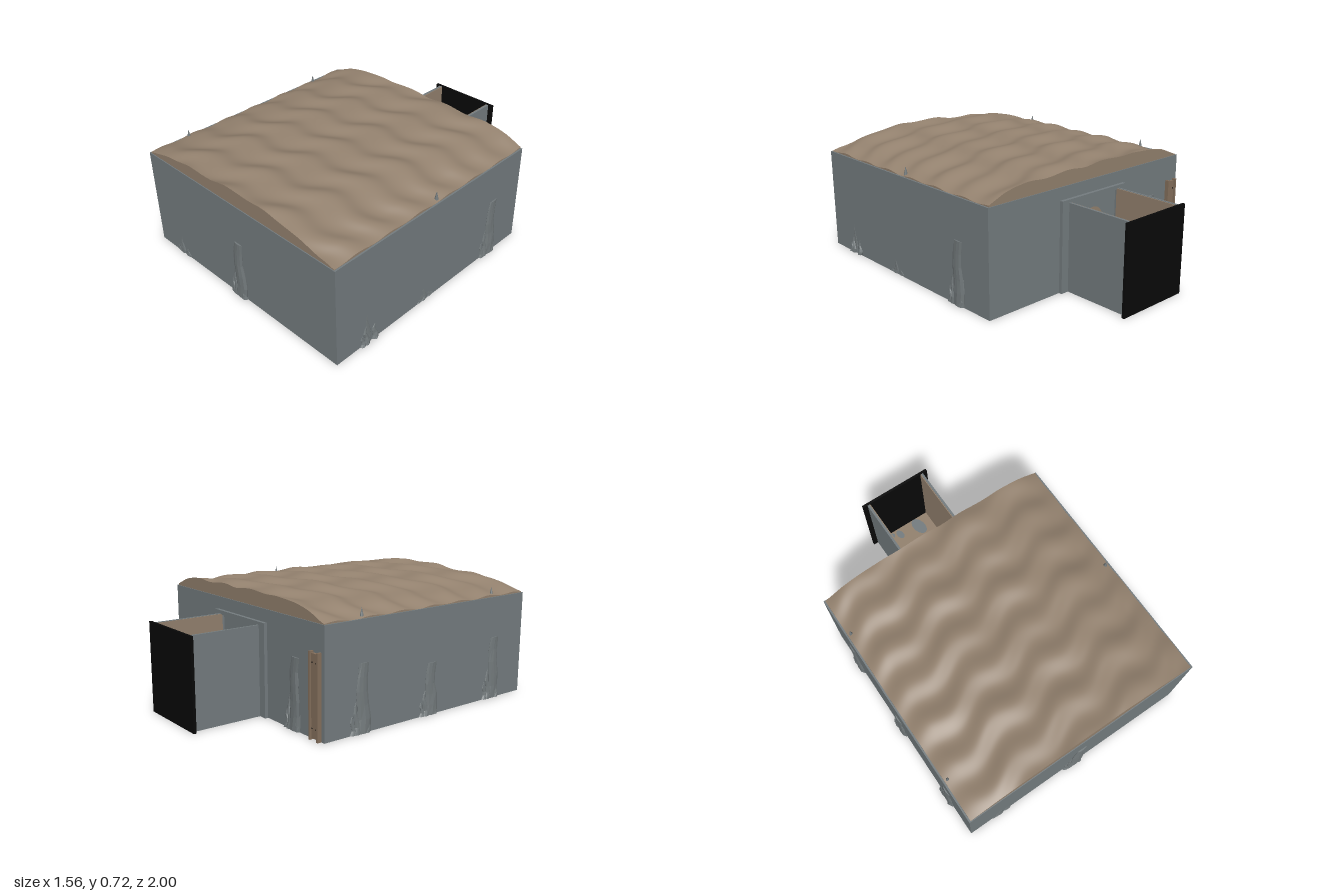
import * as THREE from 'three';

const mat = (name, color, side = THREE.FrontSide, flatShading = false) => {
  const m = new THREE.MeshStandardMaterial({ color, side, flatShading });
  m.name = name;
  return m;
};

export function createModel() {
  const root = new THREE.Group();
  root.name = 'caveRoom';
  const stone = mat('greyStone', 0x747c7f);
  const rock = mat('rockGrey', 0x737a7c, THREE.DoubleSide, true);
  const sand = mat('sandBrown', 0x93816e, THREE.DoubleSide);
  const wood = mat('woodBrown', 0x85705c);
  const black = mat('black', 0x080808);

  let seed = 7;
  const rnd = () => (seed = (seed * 16807) % 2147483647) / 2147483647;

  // box given by its min and max corners
  const box = (name, m, x0, x1, y0, y1, z0, z1, parent = root) => {
    const mesh = new THREE.Mesh(new THREE.BoxGeometry(x1 - x0, y1 - y0, z1 - z0), m);
    mesh.position.set((x0 + x1) / 2, (y0 + y1) / 2, (z0 + z1) / 2);
    mesh.name = name;
    parent.add(mesh);
    return mesh;
  };

  // main room: solid block with a slightly raised rim and a floor slab
  box('room', stone, -0.755, 0.755, 0.005, 0.605, -0.54, 0.97);
  box('floorSlab', stone, -0.76, 0.76, 0, 0.01, -0.545, 0.975);
  for (const s of [-1, 1]) {
    box('sideWall', stone, s * 0.755 - 0.005, s * 0.755 + 0.005, 0.01, 0.614, -0.545, 0.975);
    const z = s > 0 ? 0.97 : -0.54;
    box('endWall', stone, -0.75, 0.75, 0.01, 0.614, z - 0.005, z + 0.005);
  }

  // rippled barrel roof
  const roofY = (x, z) => {
    const wave = Math.sin((2 * Math.PI * (z + 0.22 * x + 0.025 * Math.sin(x * 17 + z * 2))) / 0.235);
    const cross = Math.sin(x * 13 - z * 6) * Math.sin(z * 9 + x * 4 + 1);
    const edge = 1 - Math.pow(Math.abs(x) / 0.75, 3);
    return 0.62 + 0.082 * edge + (0.005 + 0.006 * Math.min(1, edge * 3)) * (wave + 0.6 * cross);
  };
  const roofGeo = new THREE.PlaneGeometry(1.5, 1.51, 90, 110).rotateX(-Math.PI / 2).translate(0, 0, 0.215);
  const p = roofGeo.attributes.position;
  for (let i = 0; i < p.count; i++) p.setY(i, roofY(p.getX(i), p.getZ(i)));
  roofGeo.computeVertexNormals();
  const roof = new THREE.Mesh(roofGeo, sand);
  roof.name = 'roof';
  root.add(roof);

  // closing faces under the roof at both ends and both sides
  const skirt = (along, fixed, from, to) => {
    const g = new THREE.PlaneGeometry(1, 1, 90, 1);
    const a = g.attributes.position;
    for (let i = 0; i < a.count; i++) {
      const t = from + (to - from) * (a.getX(i) + 0.5);
      const [x, z] = along === 'x' ? [t, fixed] : [fixed, t];
      a.setXYZ(i, x, a.getY(i) > 0 ? roofY(x, z) : 0.6, z);
    }
    g.computeVertexNormals();
    const mesh = new THREE.Mesh(g, sand);
    mesh.name = 'roofEdge';
    root.add(mesh);
  };
  skirt('x', 0.97, -0.75, 0.75);
  skirt('x', -0.54, 0.75, -0.75);
  skirt('z', 0.75, 0.97, -0.54);
  skirt('z', -0.75, -0.54, 0.97);

  // open-topped entrance passage with sandy inside
  const hall = new THREE.Group();
  hall.name = 'passage';
  root.add(hall);
  box('passageFloor', stone, -0.205, 0.205, 0, 0.01, -0.985, -0.545, hall);
  box('passageSand', sand, -0.19, 0.19, 0.01, 0.016, -0.985, -0.55, hall);
  for (const s of [-1, 1]) {
    box('passageWall', stone, s * 0.198 - 0.007, s * 0.198 + 0.007, 0, 0.522, -0.985, -0.545, hall);
    box('passageLining', sand, s * 0.188 - 0.003, s * 0.188 + 0.003, 0.01, 0.52, -0.985, -0.56, hall);
    box('doorPost', stone, s * 0.23 - 0.025, s * 0.23 + 0.025, 0, 0.535, -0.565, -0.545, hall);
  }
  box('doorLintel', stone, -0.255, 0.255, 0.515, 0.54, -0.565, -0.545, hall);
  box('endPlate', black, -0.235, 0.235, 0, 0.525, -1, -0.984, hall);

  // worn stone patches on the sand: x, z, half sizes
  for (const [x, z, rx, rz] of [[0.09, -0.92, 0.04, 0.065], [-0.13, -0.955, 0.05, 0.025], [-0.05, -0.94, 0.022, 0.035],
    [0.165, -0.63, 0.02, 0.06], [-0.075, -0.67, 0.018, 0.04], [-0.09, -0.59, 0.03, 0.02], [0.02, -0.58, 0.035, 0.014]]) {
    const patch = new THREE.Mesh(new THREE.CircleGeometry(1, 12), stone);
    patch.scale.set(rx, rz, 1);
    patch.rotation.set(-Math.PI / 2, 0, 0.2);
    patch.position.set(x, 0.018, z);
    patch.name = 'floorPatch';
    hall.add(patch);
  }

  // rounded sandy opening on the door face
  const arch = new THREE.Shape();
  arch.moveTo(-0.08, 0.016).lineTo(0.08, 0.016).lineTo(0.08, 0.37).absarc(0, 0.37, 0.08, 0, Math.PI, false);
  const opening = new THREE.Mesh(new THREE.ShapeGeometry(arch), sand);
  opening.position.z = -0.552;
  opening.name = 'doorOpening';
  hall.add(opening);

  // rock spur: jittered tapering column squashed against the wall
  const spur = (parent, x, h, r, top, depth) => {
    const g = new THREE.CylinderGeometry(r * top, r, h, 10, 5);
    const a = g.attributes.position;
    const k = Array.from({ length: 66 }, () => 0.85 + 0.3 * rnd());
    for (let i = 0; i < a.count; i++) {
      const t = a.getY(i) / h + 0.5;
      const j = k[(Math.round((Math.atan2(a.getZ(i), a.getX(i)) / Math.PI) * 5 + 10) % 10) * 6 + Math.round(t * 5)];
      a.setXYZ(i, a.getX(i) * j + 0.008 * Math.sin(t * 7), t * h, (a.getZ(i) / r) * depth * j * (1 - 0.3 * t));
    }
    g.computeVertexNormals();
    const m = new THREE.Mesh(g, rock);
    m.position.x = x;
    m.name = 'rockSpur';
    parent.add(m);
  };

  // clusters of spurs: x, z, turn, height
  const q = Math.PI / 2;
  for (const [x, z, turn, h] of [[0, 0.975, 0, 0.37], [-0.53, 0.975, 0, 0.12],
    [0.758, 0.73, q, 0.24], [0.758, 0.28, q, 0.11], [0.758, -0.28, q, 0.37],
    [-0.758, 0.72, -q, 0.37], [-0.758, 0.2, -q, 0.3], [-0.758, -0.3, -q, 0.38], [-0.5, -0.545, 2 * q, 0.4]]) {
    const c = new THREE.Group();
    c.name = 'rockCluster';
    c.position.set(x, 0.003, z);
    c.rotation.y = turn;
    root.add(c);
    if (h > 0.26) spur(c, 0.01, h, 0.05, 0.65, 0.02);
    else spur(c, -0.02, h, 0.022, 0.1, 0.009);
    const d = h > 0.2 ? 0.022 : 0.007;
    spur(c, -0.035, h * 0.5, 0.025, 0.15, d);
    spur(c, -0.06, h * 0.3, 0.02, 0.1, d * 0.8);
    spur(c, 0.03, h * 0.4, 0.025, 0.2, d);
  }

  // small rock tips poking through the roof edge
  for (const [x, z] of [[0.73, 0.2], [-0.73, -0.28], [-0.73, 0.72]]) {
    const tip = new THREE.Mesh(new THREE.ConeGeometry(0.016, 0.07, 7), rock);
    tip.position.set(x, 0.635, z);
    tip.name = 'rockTip';
    root.add(tip);
  }

  // wooden plank panel on the back wall
  box('plank', wood, -0.73, -0.665, 0.01, 0.46, -0.56, -0.545);
  for (const x of [-0.73, -0.665]) box('plankFrame', wood, x - 0.006, x + 0.006, 0, 0.47, -0.57, -0.545);
  for (const y of [0.06, 0.41]) for (const x of [-0.715, -0.68]) box('nail', black, x - 0.003, x + 0.003, y, y + 0.006, -0.563, -0.558);

  return root;
}
